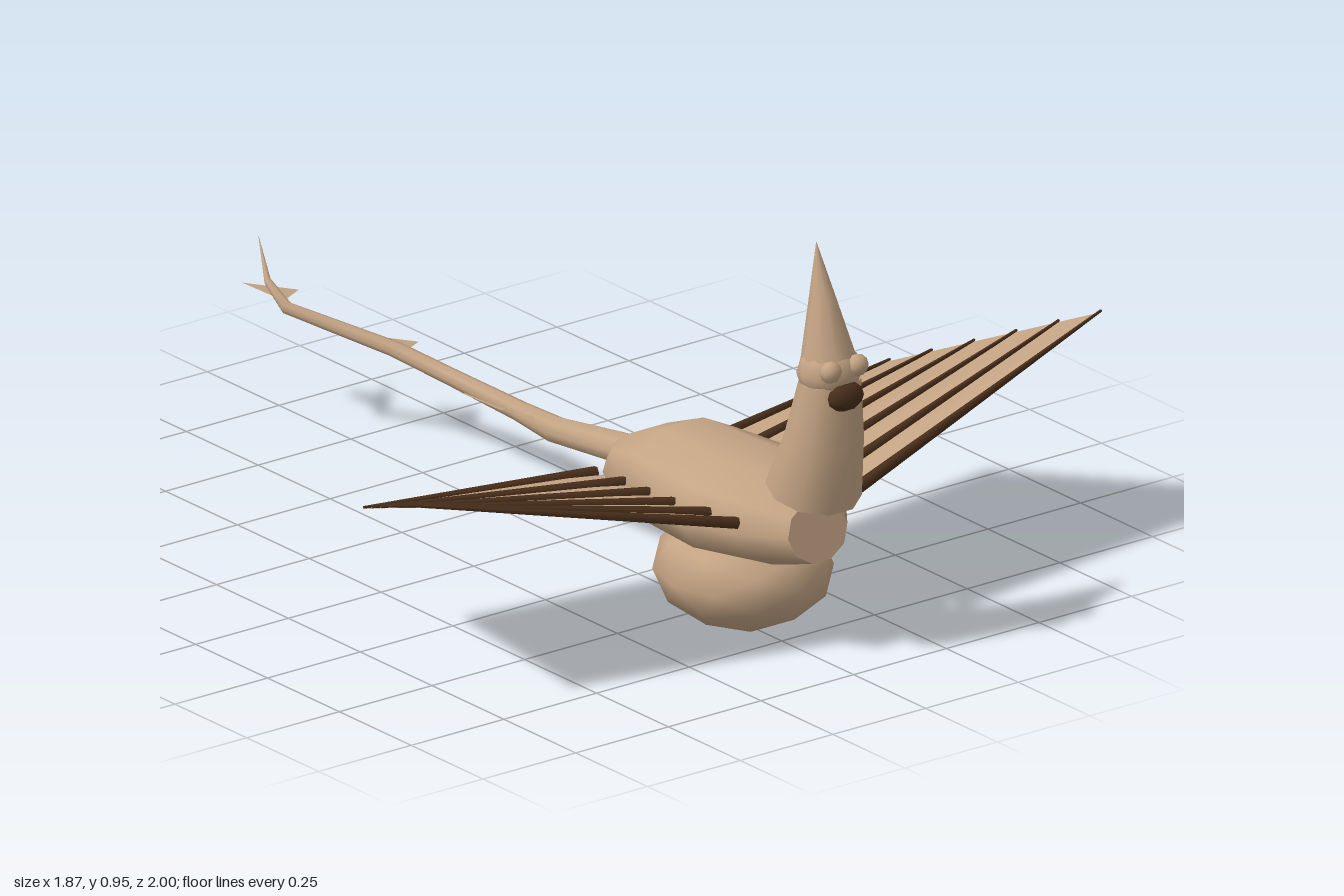
import * as THREE from 'three';

const tan = new THREE.MeshStandardMaterial({ color: 0xc4a484, side: THREE.DoubleSide });
tan.name = 'tan skin';
const brown = new THREE.MeshStandardMaterial({ color: 0x4a2f1b });
brown.name = 'dark brown';

// Rings [x, y, z, rx, rv, tilt in degrees]: tilt 0 stands upright, 90 lies flat
function loft(rings, sides) {
  const pos = [], index = [];
  const addRing = ([x, y, z, rx, rv, tilt = 0]) => {
    const start = pos.length / 3, t = THREE.MathUtils.degToRad(tilt);
    for (let j = 0; j < sides; j++) {
      const a = (j / sides) * Math.PI * 2, v = rv * Math.sin(a);
      pos.push(x + rx * Math.cos(a), y + v * Math.cos(t), z + v * Math.sin(t));
    }
    return start;
  };
  const starts = rings.map(addRing);
  for (let i = 0; i < rings.length - 1; i++) {
    for (let j = 0; j < sides; j++) {
      const k = (j + 1) % sides, p = starts[i], q = starts[i + 1];
      index.push(p + j, q + j, p + k, p + k, q + j, q + k);
    }
  }
  // Flat end caps
  [rings[0], rings[rings.length - 1]].forEach((ring, end) => {
    const s = addRing(ring);
    for (let j = 1; j < sides - 1; j++) {
      if (end) index.push(s, s + j + 1, s + j);
      else index.push(s, s + j, s + j + 1);
    }
  });
  const g = new THREE.BufferGeometry();
  g.setAttribute('position', new THREE.Float32BufferAttribute(pos, 3));
  g.setIndex(index);
  g.computeVertexNormals();
  return g;
}

function facets(points, index) {
  const g = new THREE.BufferGeometry();
  g.setAttribute('position', new THREE.Float32BufferAttribute(points.flat(), 3));
  g.setIndex(index);
  const flat = g.toNonIndexed();
  flat.computeVertexNormals();
  return flat;
}

export function createModel() {
  const model = new THREE.Group();
  model.name = 'wingedCreature';
  const add = (name, geometry, material, parent = model) => {
    const mesh = new THREE.Mesh(geometry, material);
    mesh.name = name;
    parent.add(mesh);
    return mesh;
  };
  const blob = (name, material, center, size) => {
    const mesh = add(name, new THREE.IcosahedronGeometry(1, 1), material);
    mesh.position.set(...center);
    mesh.scale.set(...size);
  };

  // Body and belly
  add('body', loft([
    [0, 0.29, 0.875, 0.08, 0.07, -12],
    [0, 0.29, 0.78, 0.15, 0.1],
    [0, 0.29, 0.65, 0.2, 0.115],
    [0, 0.285, 0.41, 0.17, 0.115],
    [0, 0.28, 0.3, 0.135, 0.075],
    [0, 0.275, 0.22, 0.06, 0.037],
  ], 10), tan);
  blob('belly', tan, [0, 0.13, 0.615], [0.19, 0.13, 0.205]);

  // Neck, head and pointed crest
  add('neck', loft([
    [0, 0.383, 0.86, 0.105, 0.104, 105],
    [0, 0.52, 0.898, 0.088, 0.08, 99],
    [0, 0.65, 0.917, 0.07, 0.062, 90],
  ], 10), tan);
  blob('head', tan, [0, 0.67, 0.915], [0.073, 0.065, 0.066]);
  add('crest', loft([
    [0, 0.703, 0.911, 0.06, 0.057, 84],
    [0, 0.827, 0.891, 0.03, 0.029, 84],
    [0, 0.95, 0.87, 0.0005, 0.0005, 84],
  ], 10), tan);
  for (const s of [1, -1]) {
    blob(s > 0 ? 'leftEye' : 'rightEye', tan, [0.036 * s, 0.69, 0.967], [0.025, 0.025, 0.022]);
  }
  blob('nose', brown, [0, 0.628, 0.972], [0.046, 0.033, 0.026]);

  // Wings: a membrane stretched under six tapering ribs
  for (const s of [1, -1]) {
    const wing = new THREE.Group();
    wing.name = s > 0 ? 'leftWing' : 'rightWing';
    model.add(wing);
    const points = [], index = [];
    for (let i = 0; i < 6; i++) {
      const t = i / 5;
      const root = new THREE.Vector3(0.16 * s, 0.32 - 0.035 * t, 0.8 - 0.49 * t);
      const tip = new THREE.Vector3((0.935 - 0.225 * t) * s, 0.5 - 0.195 * t, 0.655 - 0.445 * t);
      points.push(root.toArray(), tip.toArray());
      if (i < 5) {
        const a = 2 * i;
        if (s > 0) index.push(a, a + 1, a + 2, a + 2, a + 1, a + 3);
        else index.push(a, a + 2, a + 1, a + 2, a + 3, a + 1);
      }
      const along = tip.clone().sub(root);
      const rib = add('rib', new THREE.CylinderGeometry(0.003, 0.014, along.length(), 6), brown, wing);
      rib.position.copy(root).add(tip).multiplyScalar(0.5);
      rib.position.y += 0.004;
      rib.quaternion.setFromUnitVectors(new THREE.Vector3(0, 1, 0), along.normalize());
    }
    add('membrane', facets(points, index), tan, wing);
  }

  // Winding tail
  add('tail', loft([
    [0, 0.275, 0.23, 0.038, 0.037],
    [0.01, 0.235, -0.05, 0.03, 0.03],
    [0.147, 0.152, -0.35, 0.026, 0.021],
    [0.118, 0.175, -0.55, 0.022, 0.018],
    [0.065, 0.212, -0.68, 0.022, 0.016],
    [-0.095, 0.292, -0.85, 0.015, 0.013],
    [-0.1, 0.335, -0.91, 0.009, 0.009],
    [-0.055, 0.4, -1, 0.0005, 0.0005],
  ], 8), tan);

  // Flat barbs along the tail
  const barbs = [[0.02, 0.22, -0.21], [0.1, 0.16, -0.5], [0.072, 0.205, -0.805], [-0.1, 0.305, -1]];
  for (const [x, y, z] of barbs) {
    add('tailBarb', facets([
      [x, y, z], [x + 0.005, y, z + 0.14], [x + 0.086, y - 0.01, z + 0.087],
    ], [0, 1, 2]), tan);
  }
  return model;
}
